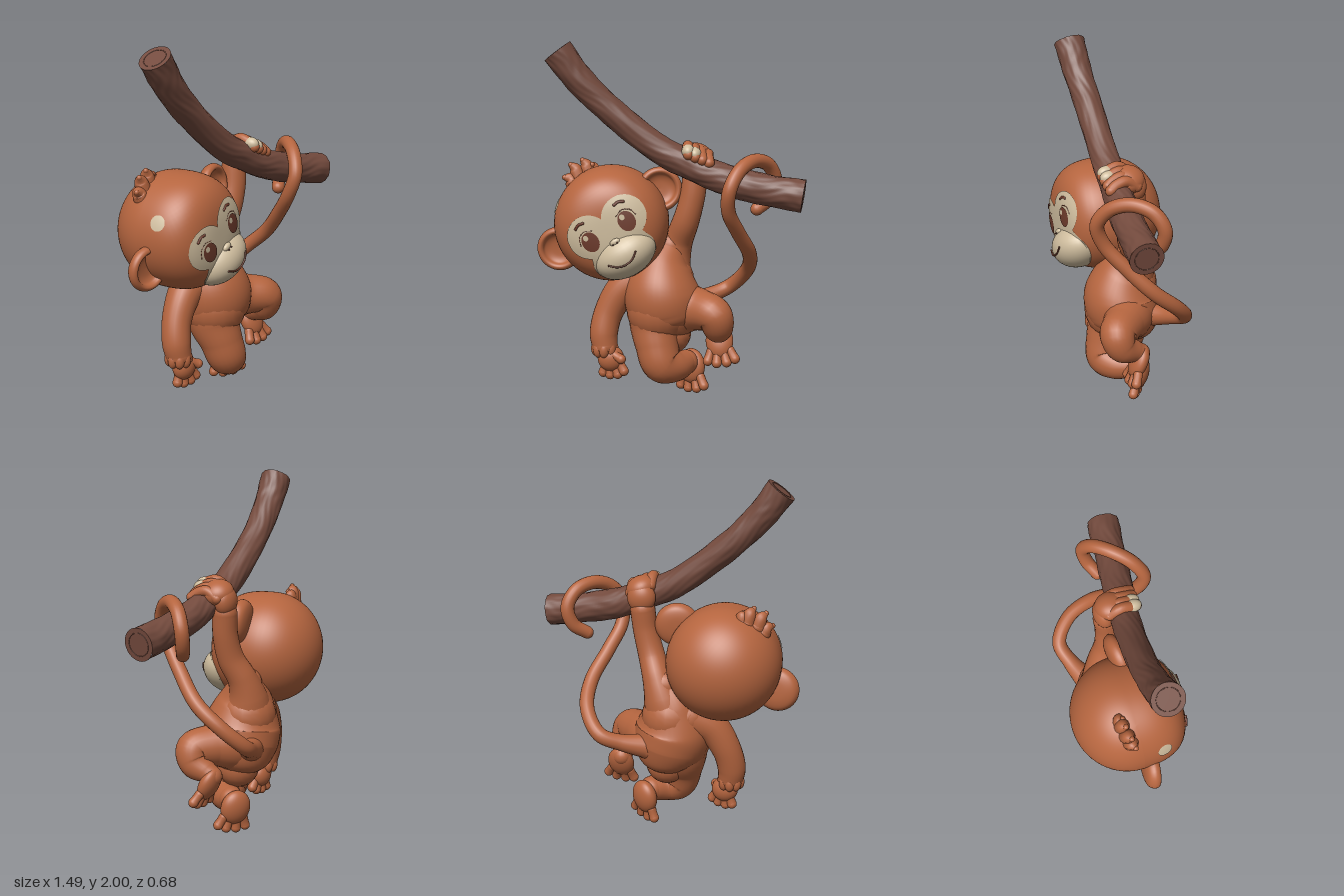
import * as THREE from 'three';
import { mergeGeometries } from 'three/addons/utils/BufferGeometryUtils.js';

const material = (name, color) => {
  const m = new THREE.MeshStandardMaterial({ color });
  m.name = name;
  return m;
};
const V = (x, y, z) => new THREE.Vector3(x, y, z);

export function createModel() {
  const root = new THREE.Group();
  root.name = 'hangingMonkey';
  const fur = material('fur', 0xb5653f);
  const cream = material('cream', 0xcfbd9e);
  const bark = material('bark', 0x734a3d);
  const brown = material('darkBrown', 0x6e3b2c);

  const add = (parent, name, geometry, mat, x = 0, y = 0, z = 0) => {
    const mesh = new THREE.Mesh(geometry, mat);
    mesh.name = name;
    mesh.position.set(x, y, z);
    parent.add(mesh);
    return mesh;
  };
  const ball = (parent, name, mat, [x, y, z], [rx, ry, rz]) => {
    const mesh = add(parent, name, new THREE.SphereGeometry(1, 32, 24), mat, x, y, z);
    mesh.scale.set(rx, ry, rz);
    return mesh;
  };

  // Tube through [x, y, z, radius] points, with round ends and optional surface bumps
  const limb = (pts, { sides = 24, steps = 8, round = true, bump = () => 1 } = {}) => {
    const path = new THREE.CatmullRomCurve3(pts.map(p => V(p[0], p[1], p[2])));
    const radii = new THREE.CatmullRomCurve3(pts.map((p, i) => V(p[3], i, 0)), false, 'catmullrom');
    const rows = steps * (pts.length - 1), pos = [], index = [];
    let n = V(0.31, 0.2, 0.93);
    for (let i = 0; i <= rows; i++) {
      const t = i / rows, c = path.getPoint(t), r = radii.getPoint(t).x, tan = path.getTangent(t);
      n = n.clone().addScaledVector(tan, -n.dot(tan)).normalize();
      const b = tan.clone().cross(n);
      for (let j = 0; j < sides; j++) {
        const a = j / sides * Math.PI * 2, k = r * bump(a, t);
        const p = c.clone().addScaledVector(n, Math.cos(a) * k).addScaledVector(b, Math.sin(a) * k);
        pos.push(p.x, p.y, p.z);
        if (i < rows) {
          const a0 = i * sides + j, a1 = i * sides + (j + 1) % sides;
          index.push(a0, a1, a0 + sides, a1, a1 + sides, a0 + sides);
        }
      }
    }
    const g = new THREE.BufferGeometry();
    g.setAttribute('position', new THREE.Float32BufferAttribute(pos, 3));
    g.setIndex(index);
    g.computeVertexNormals();
    if (!round) return g;
    const ends = [pts[0], pts[pts.length - 1]].map(p => {
      const s = new THREE.SphereGeometry(p[3], 20, 14).translate(p[0], p[1], p[2]);
      s.deleteAttribute('uv');
      return s;
    });
    return mergeGeometries([g, ...ends]);
  };

  // Fan of fingers or toes spread along a side direction
  const digits = (name, base, dir, side, n, spread, length, r) => {
    for (let i = 0; i < n; i++) {
      const k = n > 1 ? i / (n - 1) * 2 - 1 : 0;
      const a = base.clone().addScaledVector(side, k * spread * 0.7);
      const d = dir.clone().addScaledVector(side, k * 0.45).normalize();
      const e = a.clone().addScaledVector(d, length * (1 - 0.2 * k * k));
      add(root, name, limb([[...a, r * 0.95], [...a.clone().lerp(e, 0.5), r * 0.92], [...e, r]],
        { sides: 14, steps: 4 }), fur);
    }
  };

  // Flattened oval foot with a fan of toes
  const foot = (name, center, side, dir, [width, length, depth]) => {
    const normal = side.clone().cross(dir).normalize();
    const sole = ball(root, name + 'Foot', fur, [...center], [width, length, depth]);
    sole.quaternion.setFromRotationMatrix(new THREE.Matrix4().makeBasis(side, normal.clone().cross(side), normal));
    digits(name + 'Toe', center.clone().addScaledVector(dir, length * 0.6), dir, side, 4, width, 0.068, 0.028);
  };

  // Branch with grooved bark and sawn ends
  const branchPts = [[-0.608, 1.945, 0.065, 0.086], [-0.5, 1.8, 0.062, 0.08], [-0.33, 1.63, 0.062, 0.076],
    [-0.04, 1.405, 0.085, 0.078], [0.15, 1.315, 0.11, 0.08], [0.325, 1.25, 0.14, 0.085],
    [0.55, 1.2, 0.175, 0.085], [0.725, 1.175, 0.2, 0.09]];
  add(root, 'branch', limb(branchPts, {
    sides: 56, steps: 14, round: false,
    bump: (a, t) => 1 + 0.025 * Math.sin(11 * a + 2 * Math.sin(t * 29)) * Math.sin(t * 37 + 3 * a)
      + 0.015 * Math.sin(4 * a + t * 40)
  }), bark);
  [[0, 1], [7, 6]].forEach(([end, next]) => {
    const p = branchPts[end], q = branchPts[next];
    const cap = new THREE.Group();
    cap.name = 'branchEnd';
    cap.position.set(p[0], p[1], p[2]);
    cap.quaternion.setFromUnitVectors(V(0, 0, 1), V(p[0] - q[0], p[1] - q[1], p[2] - q[2]).normalize());
    root.add(cap);
    add(cap, 'sawnFace', new THREE.CircleGeometry(p[3] * 1.01, 40), bark);
    add(cap, 'growthRing', new THREE.TorusGeometry(p[3] * 0.7, 0.002, 8, 40), bark);
  });

  // Torso
  add(root, 'torso', limb([[0.0, 0.85, -0.05, 0.09], [-0.035, 0.75, -0.03, 0.155], [-0.045, 0.6, -0.005, 0.215],
    [-0.02, 0.49, -0.01, 0.21], [-0.005, 0.42, -0.01, 0.178], [0.0, 0.36, 0.0, 0.12]], { sides: 40 }), fur);

  // Raised arm and the hand gripping the branch
  add(root, 'raisedArm', limb([[-0.03, 0.66, -0.04, 0.165], [0.01, 0.78, -0.062, 0.112], [0.045, 0.88, -0.05, 0.084],
    [0.088, 1.0, 0.0, 0.075], [0.125, 1.14, 0.015, 0.07], [0.14, 1.26, 0.01, 0.07]]), fur);
  ball(root, 'raisedPalm', fur, [0.145, 1.33, 0.0], [0.08, 0.085, 0.058]);
  ball(root, 'handBack', fur, [0.155, 1.375, 0.045], [0.088, 0.068, 0.09]).rotation.z = -0.4;
  for (let i = 0; i < 4; i++) {
    const x = 0.1 + i * 0.037, y = 1.345 - i * 0.015, r = 0.03;
    add(root, 'grippingFinger', limb([[x, y + 0.05, 0.02, r], [x, y + 0.088, 0.08, r],
      [x, y + 0.075, 0.135, r], [x + 0.005, y + 0.05, 0.172, r]], { sides: 14, steps: 5 }), fur);
    if (i < 2) ball(root, 'paleFingertip', cream, [x + 0.002, y + 0.066, 0.15], [0.035, 0.037, 0.05]);
  }

  // Lowered arm, fur cuff and hand
  add(root, 'loweredArm', limb([[-0.13, 0.67, -0.04, 0.125], [-0.26, 0.61, -0.03, 0.097], [-0.345, 0.48, -0.02, 0.083],
    [-0.375, 0.36, 0.0, 0.08], [-0.37, 0.29, 0.01, 0.073]]), fur);
  for (let i = 0; i < 8; i++) {
    const a = i / 8 * Math.PI * 2;
    ball(root, 'cuffTuft', fur, [-0.37 + Math.cos(a) * 0.05, 0.27, 0.01 + Math.sin(a) * 0.05], [0.028, 0.045, 0.028]);
  }
  ball(root, 'loweredPalm', fur, [-0.335, 0.215, 0.02], [0.075, 0.075, 0.058]);
  digits('loweredFinger', V(-0.325, 0.185, 0.02), V(0.12, -1, 0.1), V(0.9, 0.12, 0.25).normalize(), 4, 0.058, 0.066, 0.028);
  digits('loweredThumb', V(-0.31, 0.24, 0.05), V(0.75, -0.35, 0.4), V(0, 1, 0), 1, 0, 0.045, 0.027);

  // Bent left leg and foot
  add(root, 'leftThigh', limb([[0.0, 0.5, -0.01, 0.18], [0.09, 0.51, 0.02, 0.145], [0.17, 0.515, 0.08, 0.117],
    [0.25, 0.5, 0.15, 0.1], [0.27, 0.43, 0.13, 0.087], [0.27, 0.39, 0.06, 0.065], [0.27, 0.37, 0.02, 0.055]]), fur);
  foot('left', V(0.28, 0.325, 0.035), V(0.99, 0.1, 0.1).normalize(), V(0.1, -0.9, 0.42).normalize(), [0.078, 0.1, 0.048]);

  // Bent right leg and foot
  add(root, 'rightThigh', limb([[-0.06, 0.5, 0.02, 0.185], [-0.077, 0.4, 0.04, 0.148], [-0.07, 0.31, 0.075, 0.123],
    [-0.04, 0.21, 0.095, 0.113], [0.03, 0.185, 0.065, 0.09], [0.09, 0.19, 0.0, 0.07]]), fur);
  foot('right', V(0.122, 0.155, -0.045), V(0.78, 0.12, 0.6).normalize(), V(0.05, -0.97, 0.2).normalize(), [0.088, 0.1, 0.055]);

  // Tail curling round the branch
  add(root, 'tail', limb([[0.08, 0.5, -0.12, 0.075], [0.22, 0.535, -0.185, 0.048], [0.34, 0.585, -0.215, 0.042],
    [0.435, 0.7, -0.12, 0.041], [0.445, 0.82, 0.02, 0.041], [0.375, 0.97, 0.16, 0.04], [0.32, 1.1, 0.26, 0.039],
    [0.325, 1.22, 0.3, 0.039], [0.38, 1.32, 0.25, 0.039], [0.46, 1.36, 0.16, 0.039], [0.54, 1.33, 0.075, 0.039],
    [0.58, 1.24, 0.03, 0.039], [0.55, 1.14, 0.04, 0.038], [0.48, 1.085, 0.08, 0.036]], { sides: 18 }), fur);

  // Head, tilted to one side, with a fuller front half
  const head = new THREE.Group();
  head.name = 'head';
  head.position.set(-0.325, 0.993, -0.04);
  head.rotation.z = 0.54;
  root.add(head);
  const R = 0.32, RZ = 0.305;
  const fullFront = g => {
    const p = g.attributes.position, v = V(0, 0, 0);
    for (let i = 0; i < p.count; i++) {
      v.fromBufferAttribute(p, i);
      if (v.z > 0) v.multiplyScalar(v.length() / Math.cbrt(Math.hypot(v.x, v.y) ** 3 + v.z ** 3));
      p.setXYZ(i, v.x, v.y, v.z * RZ / R);
    }
    g.computeVertexNormals();
    return g;
  };
  add(head, 'skull', fullFront(new THREE.SphereGeometry(R, 64, 48)), fur);
  const skullZ = (x, y) => RZ * Math.cbrt(Math.max(0, 1 - (Math.hypot(x, y) / R) ** 3));
  const M = { y: -0.165, z: 0.22, rx: 0.182, ry: 0.127, rz: 0.148 };
  const faceZ = (x, y) => {
    const k = 1 - (x / M.rx) ** 2 - ((y - M.y) / M.ry) ** 2;
    return Math.max(skullZ(x, y), k > 0 ? M.z + M.rz * Math.sqrt(k) : 0);
  };

  // Pale spot on the side of the head
  const spotTurn = new THREE.Quaternion().setFromUnitVectors(V(0, 1, 0), V(-0.199, 0.242, 0.125).normalize());
  add(head, 'paleSpot', fullFront(new THREE.SphereGeometry(R + 0.004, 24, 6, 0, Math.PI * 2, 0, 0.125)
    .applyQuaternion(spotTurn)), cream);

  // Ears with hollow fronts
  const earProfile = [[0, -0.05], [0.06, -0.046], [0.105, -0.03], [0.124, 0], [0.12, 0.025], [0.104, 0.036],
    [0.09, 0.028], [0.08, 0.008], [0.05, -0.006], [0, -0.01]].map(p => new THREE.Vector2(...p));
  const earShape = new THREE.LatheGeometry(new THREE.SplineCurve(earProfile).getPoints(40)
    .map(p => new THREE.Vector2(Math.max(0, p.x), p.y)), 40).rotateX(Math.PI / 2);
  [-1, 1].forEach(s => {
    const ear = add(head, s < 0 ? 'rightEar' : 'leftEar', earShape, fur, s * 0.328, 0.025, 0.045);
    ear.rotation.y = s * 0.15;
  });

  // Thin patch lying on the face, its outline given as radius by angle
  const patch = (name, mat, cx, cy, radius, lift) => {
    const g = new THREE.RingGeometry(0.001, 1, 72, 10), p = g.attributes.position;
    for (let i = 0; i < p.count; i++) {
      const r = radius(Math.atan2(p.getY(i), p.getX(i)));
      const x = cx + p.getX(i) * r, y = cy + p.getY(i) * r;
      p.setXYZ(i, x, y, skullZ(x, y) + lift);
    }
    g.computeVertexNormals();
    return add(head, name, g, mat);
  };
  const oval = (rx, ry) => a => 1 / Math.hypot(Math.cos(a) / rx, Math.sin(a) / ry);
  const stroke = (name, pts, r) => add(head, name,
    limb(pts.map(([x, y]) => [x, y, faceZ(x, y) + 0.005, r]), { sides: 8, steps: 6 }), brown);

  // Pale mask made of two eye lobes and the muzzle area
  const inMask = (x, y) => Math.hypot(Math.abs(x) - 0.11, y - 0.02) < 0.122
    || (x / M.rx) ** 2 + ((y - M.y) / M.ry) ** 2 < 1;
  patch('faceMask', cream, 0, 0, a => {
    let r = 0.29;
    while (r > 0.02 && !inMask(r * Math.cos(a), r * Math.sin(a))) r -= 0.001;
    return r;
  }, 0.007);
  ball(head, 'muzzle', cream, [0, M.y, M.z], [M.rx, M.ry, M.rz]);
  ball(head, 'nose', cream, [0, -0.07, faceZ(0, -0.07)], [0.03, 0.018, 0.016]);

  // Eyes, lashes, brows and nostrils
  [-1, 1].forEach(s => {
    patch('eye', brown, s * 0.114, -0.005, oval(0.047, 0.057), 0.012);
    patch('eyeHighlight', cream, s * 0.114 - 0.012, 0.026, oval(0.014, 0.016), 0.015);
    stroke('lashLine', [[s * 0.172, 0.0], [s * 0.157, 0.042], [s * 0.117, 0.06], [s * 0.077, 0.045]], 0.003);
    stroke('brow', [[s * 0.15, 0.094], [s * 0.125, 0.106], [s * 0.098, 0.103]], 0.008);
    ball(head, 'nostril', brown, [s * 0.012, -0.077, faceZ(0, -0.077) + 0.011], [0.005, 0.004, 0.005]);
  });
  stroke('mouth', [[-0.09, -0.16], [-0.05, -0.19], [-0.005, -0.2], [0.04, -0.191], [0.075, -0.165]], 0.005);

  // Hair tufts on the crown
  [[-0.545, 1.215, -0.09, -0.05, 0.02], [-0.515, 1.25, -0.1, -0.045, 0.055], [-0.46, 1.27, -0.11, -0.035, 0.06],
    [-0.435, 1.275, -0.11, -0.005, 0.03]].forEach(([x, y, z, dx, dy]) =>
    add(root, 'hairTuft', limb([[x, y - 0.02, z, 0.044], [x + dx * 0.5, y + dy * 0.6, z, 0.034],
      [x + dx, y + dy, z + 0.01, 0.015]], { sides: 14 }), fur));

  return root;
}
